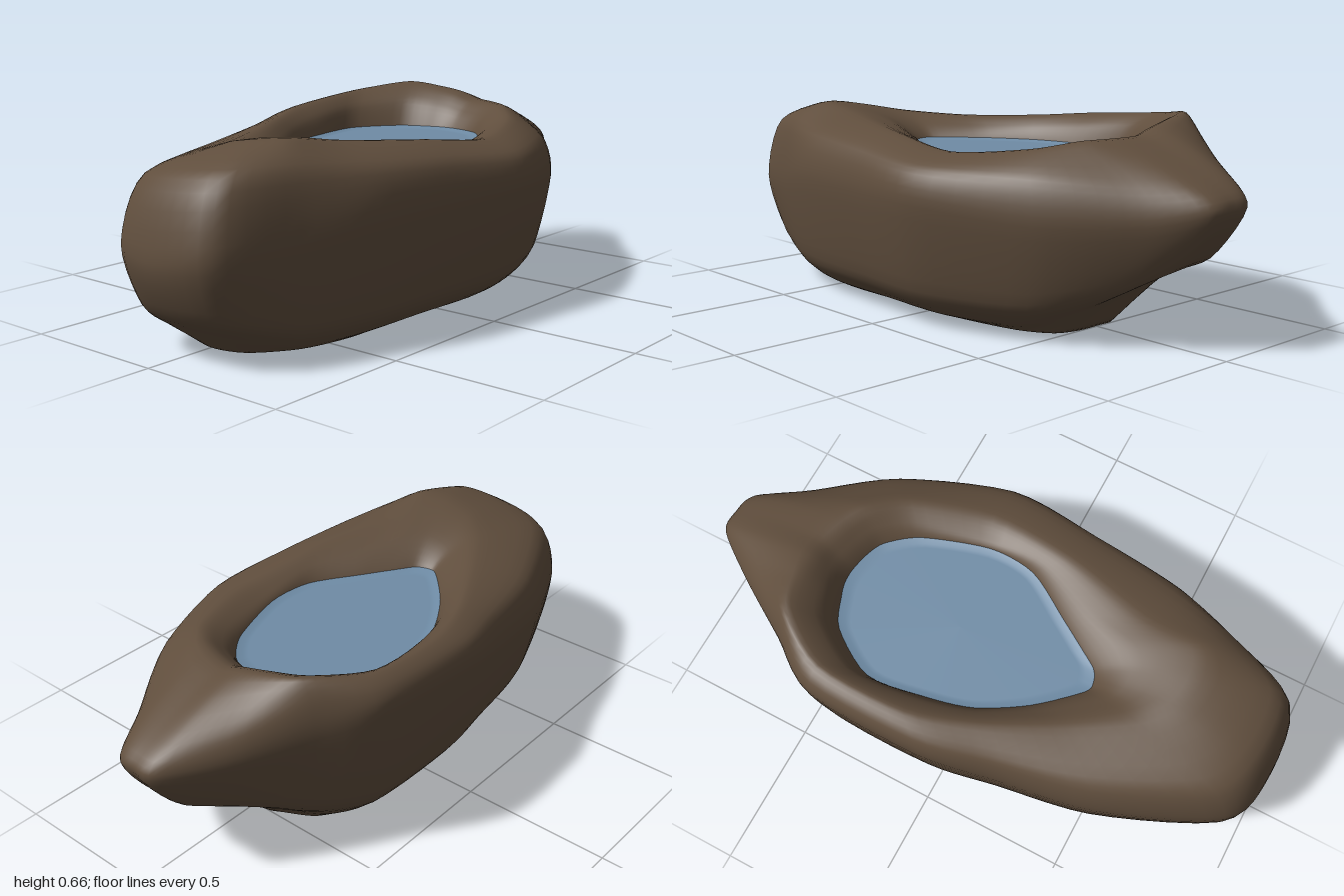
import * as THREE from 'three';

const WATER_Y = 0.505;
const COLS = 90; // samples around the rock

// Control rings, all running from the narrow tip (+x) round by the front (+z).
// Widest outline: x, y, z
const OUTLINE = [
  [0.99, 0.43, -0.02], [0.97, 0.42, 0.06], [0.82, 0.38, 0.17], [0.56, 0.37, 0.35], [0.18, 0.40, 0.49], [-0.15, 0.40, 0.465],
  [-0.48, 0.40, 0.425], [-0.72, 0.36, 0.34], [-0.97, 0.34, 0.24], [-1.0, 0.31, 0], [-0.93, 0.34, -0.18], [-0.55, 0.38, -0.36],
  [-0.22, 0.42, -0.43], [0.02, 0.48, -0.485], [0.41, 0.52, -0.48], [0.60, 0.48, -0.36], [0.82, 0.44, -0.22], [0.98, 0.43, -0.10],
];
// Top of the rim: x, y, z, and how far up towards it the shoulder sits
const CREST = [
  [0.65, 0.61, -0.03, 0.42], [0.62, 0.605, 0.07, 0.42], [0.57, 0.60, 0.15, 0.5], [0.45, 0.575, 0.25, 0.65],
  [0.18, 0.55, 0.34, 0.72], [-0.12, 0.58, 0.31, 0.72], [-0.42, 0.605, 0.23, 0.72], [-0.62, 0.635, 0.21, 0.72],
  [-0.67, 0.63, 0.12, 0.74], [-0.65, 0.61, 0, 0.76], [-0.56, 0.59, -0.10, 0.74], [-0.36, 0.58, -0.22, 0.72],
  [-0.12, 0.59, -0.34, 0.72], [0.10, 0.61, -0.41, 0.72], [0.40, 0.635, -0.41, 0.72], [0.58, 0.66, -0.30, 0.65],
  [0.63, 0.645, -0.18, 0.5], [0.65, 0.63, -0.10, 0.42],
];
// Edge of the water: x, z
const POOL = [
  [0.505, -0.04], [0.49, 0.03], [0.46, 0.09], [0.36, 0.165], [0.14, 0.235], [-0.02, 0.225],
  [-0.18, 0.125], [-0.28, 0.06], [-0.34, 0.02], [-0.36, -0.02], [-0.35, -0.06], [-0.22, -0.18],
  [-0.07, -0.27], [0.08, -0.31], [0.28, -0.335], [0.44, -0.24], [0.49, -0.14], [0.505, -0.09],
];
// Edge of the flat underside: x, z, and how high the flank sits above it
const FOOT = [
  [0.50, -0.02, 0.62], [0.50, 0.08, 0.6], [0.47, 0.16, 0.5], [0.36, 0.22, 0.34], [0.12, 0.26, 0.3], [-0.15, 0.26, 0.3],
  [-0.42, 0.26, 0.3], [-0.60, 0.22, 0.32], [-0.73, 0.12, 0.45], [-0.76, 0, 0.48], [-0.70, -0.12, 0.42], [-0.45, -0.2, 0.38],
  [-0.20, -0.24, 0.38], [0.02, -0.26, 0.38], [0.30, -0.26, 0.38], [0.42, -0.2, 0.42], [0.48, -0.1, 0.55], [0.50, -0.06, 0.62],
];

const vec = (x, y, z) => new THREE.Vector3(x, y, z);

// Ring between two others, at its own height
const between = (from, to, t, height) => from.map((p, i) => {
  const q = p.clone().lerp(to[i], t);
  q.y = height(i);
  return q;
});

// Smooth closed loop through the control points
function loop(points) {
  const curve = new THREE.CatmullRomCurve3(points, true, 'catmullrom', 0.4);
  return Array.from({ length: COLS }, (_, j) => curve.getPoint(j / COLS));
}

// Skin a stack of closed loops
function skin(rows) {
  const position = [], index = [];
  for (const row of rows) for (const p of row) position.push(p.x, p.y, p.z);
  for (let i = 0; i < rows.length - 1; i++) {
    for (let j = 0; j < COLS; j++) {
      const a = i * COLS + j, b = i * COLS + (j + 1) % COLS;
      index.push(a, a + COLS, b, b, a + COLS, b + COLS);
    }
  }
  const geometry = new THREE.BufferGeometry();
  geometry.setAttribute('position', new THREE.Float32BufferAttribute(position, 3));
  geometry.setIndex(index);
  geometry.computeVertexNormals();
  return geometry;
}

function rockGeometry() {
  const out = OUTLINE.map(p => vec(...p));
  const crest = CREST.map(([x, y, z]) => vec(x, y, z));
  const foot = FOOT.map(([x, z]) => vec(x, 0.002, z));
  const pool = POOL.map(([x, z]) => vec(x, WATER_Y, z));
  const basin = POOL.map(([x, z]) => vec(0.1 + (x - 0.1) * 0.92, WATER_Y - 0.1, -0.05 + (z + 0.05) * 0.92));

  // Underside curve, undercut below the narrow tip
  const flank = between(foot, out, 0.76, i => out[i].y * FOOT[i][2]);
  const toe = between(foot, out, 0.4, i => flank[i].y * FOOT[i][2] * 1.1);
  // Rounded shoulder outside the rim, and the lip before the steep pool wall
  const shoulder = between(out, crest, 0.22, i => THREE.MathUtils.lerp(out[i].y, crest[i].y, CREST[i][3]));
  const lip = between(crest, pool, 0.65, i => THREE.MathUtils.lerp(crest[i].y, WATER_Y, 0.38));
  const rings = [foot, toe, flank, out, shoulder, crest, lip, pool, basin].map(loop);

  // Round each upright profile from the foot into the basin
  const STEPS = 40;
  const rows = Array.from({ length: STEPS + 1 }, () => []);
  for (let j = 0; j < COLS; j++) {
    const profile = new THREE.CatmullRomCurve3(rings.map(r => r[j]), false, 'catmullrom', 0.4);
    for (let i = 0; i <= STEPS; i++) {
      const p = profile.getPoint(i / STEPS);
      p.y = Math.max(0, p.y);
      rows[i].push(p);
    }
  }
  // Close the underside
  rows.unshift(rows[0].map(() => vec(-0.1, 0, 0)));
  return skin(rows);
}

function waterGeometry() {
  const edge = loop(POOL.map(([x, z]) => vec(x, WATER_Y, z)));
  const ring = (scale, lift) => edge.map(p => vec(0.1 + (p.x - 0.1) * scale, WATER_Y + lift, -0.05 + (p.z + 0.05) * scale));
  // Slightly raised lip, then a flat surface
  return skin([ring(1.03, 0.007), ring(1, 0.006), ring(0.95, 0), ring(0.9, 0), ring(0, 0)]);
}

export function createModel() {
  const rockBrown = new THREE.MeshStandardMaterial({ color: 0x604e3d });
  rockBrown.name = 'rockBrown';
  const waterBlue = new THREE.MeshStandardMaterial({ color: 0x6f8ca6 });
  waterBlue.name = 'waterBlue';

  const group = new THREE.Group();
  group.name = 'rockPool';
  const rock = new THREE.Mesh(rockGeometry(), rockBrown);
  rock.name = 'rockBasin';
  const water = new THREE.Mesh(waterGeometry(), waterBlue);
  water.name = 'waterSurface';
  group.add(rock, water);
  return group;
}
